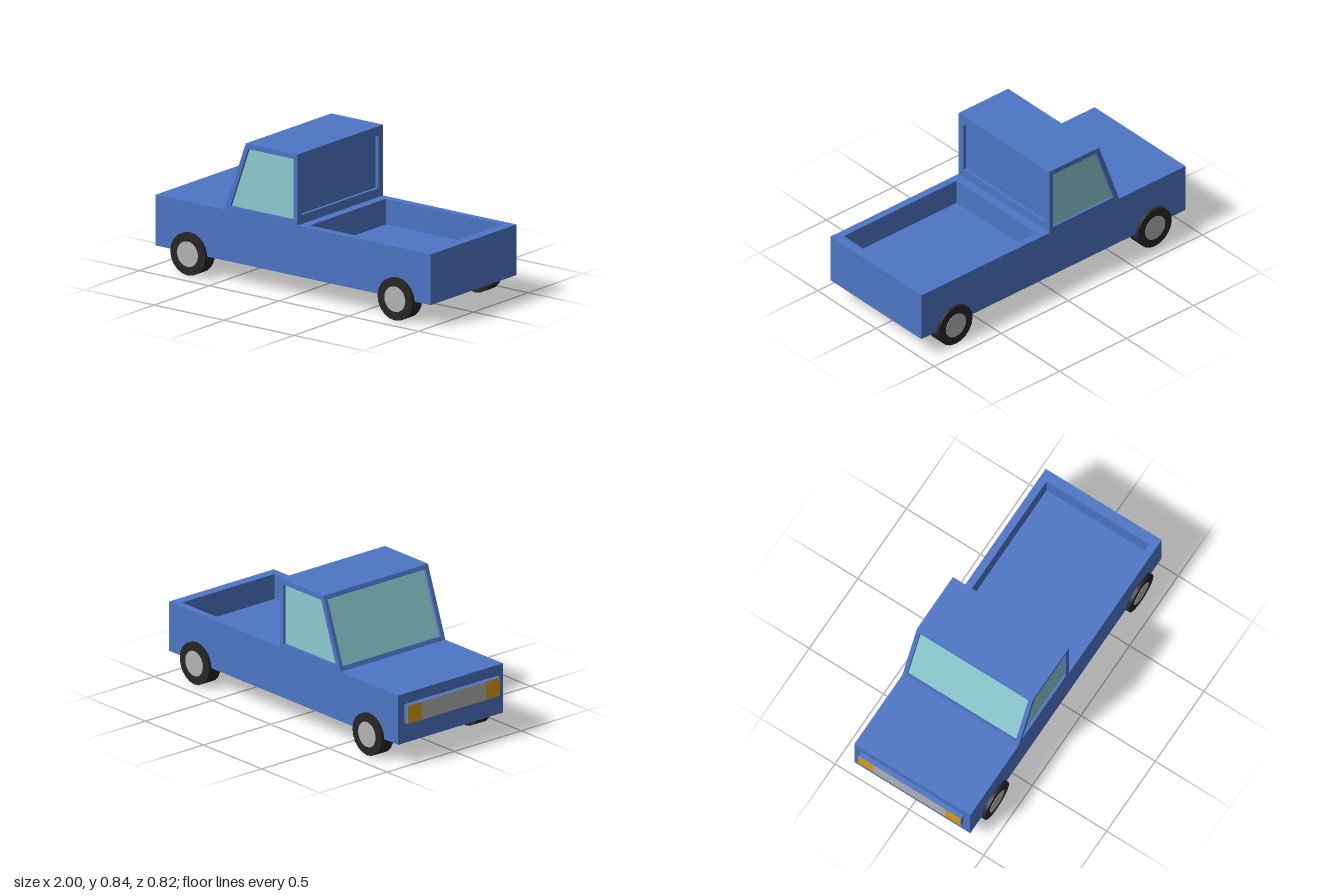
import * as THREE from 'three';

const paint = new THREE.MeshStandardMaterial({ color: 0x4d76c6 });
const glass = new THREE.MeshStandardMaterial({ color: 0x8ccad0 });
const rubber = new THREE.MeshStandardMaterial({ color: 0x262626 });
const metal = new THREE.MeshStandardMaterial({ color: 0xb4b4b4 });
const amber = new THREE.MeshStandardMaterial({ color: 0xdc9e14 });

// Flat-shaded mesh from quads, each listed counter-clockwise from outside
function quadMesh(name, quads, material) {
  const points = quads.flatMap(([a, b, c, d]) => [a, b, c, a, c, d]);
  const geometry = new THREE.BufferGeometry();
  geometry.setAttribute('position', new THREE.Float32BufferAttribute(points.flat(), 3));
  geometry.computeVertexNormals();
  const mesh = new THREE.Mesh(geometry, material);
  mesh.name = name;
  return mesh;
}

// A painted frame around a sunken panel; outer and inner are matching corner loops
function recessedPanel(name, outer, inner, sink, panelMaterial) {
  const floor = inner.map((p) => p.map((v, k) => v + sink[k]));
  const quads = [];
  for (let i = 0; i < 4; i++) {
    const j = (i + 1) % 4;
    quads.push([outer[i], outer[j], inner[j], inner[i]]);
    quads.push([inner[i], inner[j], floor[j], floor[i]]);
  }
  const group = new THREE.Group();
  group.name = name;
  group.add(quadMesh(name + 'Frame', quads, paint), quadMesh(name + 'Panel', [floor], panelMaterial));
  return group;
}

// Corner loops for faces looking up, forward (-x), and backward (+x)
const level = (x0, x1, y, z) => [[x0, y, z], [x1, y, z], [x1, y, -z], [x0, y, -z]];
const facingFront = (xLow, yLow, xHigh, yHigh, z) =>
  [[xLow, yLow, -z], [xLow, yLow, z], [xHigh, yHigh, z], [xHigh, yHigh, -z]];
const facingRear = (x, y0, y1, z) => [[x, y0, z], [x, y0, -z], [x, y1, -z], [x, y1, z]];
// Side face from an x,y outline; the far side is mirrored and reversed
function facingSide(outline, side, z) {
  const loop = outline.map(([x, y]) => [x, y, side * z]);
  return side > 0 ? loop : loop.reverse();
}

const W = 0.39, FRONT = -0.97, REAR = 1, SILL = 0.128, DECK = 0.425, ROOF = 0.84;
const CAB_FRONT = -0.475, ROOF_FRONT = -0.325, CAB_REAR = 0.045;

function createBody() {
  const body = new THREE.Group();
  body.name = 'body';
  const sideOutline = [[FRONT, SILL], [REAR, SILL], [REAR, DECK], [FRONT, DECK]];
  body.add(
    quadMesh('lowerBody', [
      facingSide(sideOutline, 1, W),
      facingSide(sideOutline, -1, W),
      facingFront(FRONT, SILL, FRONT, DECK, W),
      facingRear(REAR, SILL, DECK, W),
      level(FRONT, REAR, SILL, W).reverse(),
    ], paint),
    quadMesh('hood', [level(FRONT, CAB_FRONT, DECK, W)], paint),
    recessedPanel('cargoBed', level(CAB_REAR, REAR, DECK, W),
      level(0.1, 0.94, DECK, 0.345), [0, -0.15, 0], paint),
  );
  return body;
}

function createCab() {
  const cab = new THREE.Group();
  cab.name = 'cab';
  const outline = [[CAB_FRONT, DECK], [CAB_REAR, DECK], [CAB_REAR, ROOF], [ROOF_FRONT, ROOF]];
  const opening = [[-0.435, 0.453], [0.017, 0.453], [0.017, 0.81], [-0.307, 0.81]];
  for (const side of [1, -1]) {
    cab.add(recessedPanel(side > 0 ? 'leftWindow' : 'rightWindow',
      facingSide(outline, side, W), facingSide(opening, side, W), [0, 0, -0.015 * side], glass));
  }
  // Windshield opening lies along the slope between hood and roof
  const slope = (t) => [THREE.MathUtils.lerp(CAB_FRONT, ROOF_FRONT, t), THREE.MathUtils.lerp(DECK, ROOF, t)];
  cab.add(
    recessedPanel('windshield', facingFront(CAB_FRONT, DECK, ROOF_FRONT, ROOF, W),
      facingFront(...slope(0.06), ...slope(0.94), 0.365), [0.014, -0.005, 0], glass),
    recessedPanel('cabBack', facingRear(CAB_REAR, DECK, ROOF, W),
      facingRear(CAB_REAR, 0.477, 0.785, 0.348), [-0.02, 0, 0], paint),
    quadMesh('roof', [level(ROOF_FRONT, CAB_REAR, ROOF, W)], paint),
  );
  return cab;
}

// Raised nose block with a grille between two lamps
function createNose() {
  const nose = new THREE.Group();
  nose.name = 'nose';
  const addBox = (name, x, depth, height, width, z, material) => {
    const mesh = new THREE.Mesh(new THREE.BoxGeometry(depth, height, width), material);
    mesh.name = name;
    mesh.position.set(x, 0.305, z);
    nose.add(mesh);
  };
  addBox('noseBlock', -0.983, 0.03, 0.112, 0.69, 0, paint);
  addBox('grille', -0.999, 0.002, 0.11, 0.484, 0, metal);
  for (const side of [1, -1]) addBox('lamp', -0.999, 0.002, 0.11, 0.102, side * 0.293, amber);
  return nose;
}

function createWheel(x, side) {
  const wheel = new THREE.Group();
  wheel.name = 'wheel';
  const tire = new THREE.Mesh(new THREE.CylinderGeometry(0.125, 0.125, 0.09, 20), rubber);
  tire.name = 'tire';
  const hub = new THREE.Mesh(new THREE.CylinderGeometry(0.075, 0.075, 0.02, 20), metal);
  hub.name = 'hub';
  hub.position.y = 0.037;
  wheel.add(tire, hub);
  wheel.rotation.x = side * Math.PI / 2;
  wheel.position.set(x, 0.125, side * 0.365);
  return wheel;
}

export function createModel() {
  const truck = new THREE.Group();
  truck.name = 'pickupTruck';
  truck.add(createBody(), createCab(), createNose());
  for (const x of [-0.725, 0.76]) for (const side of [1, -1]) truck.add(createWheel(x, side));
  return truck;
}
